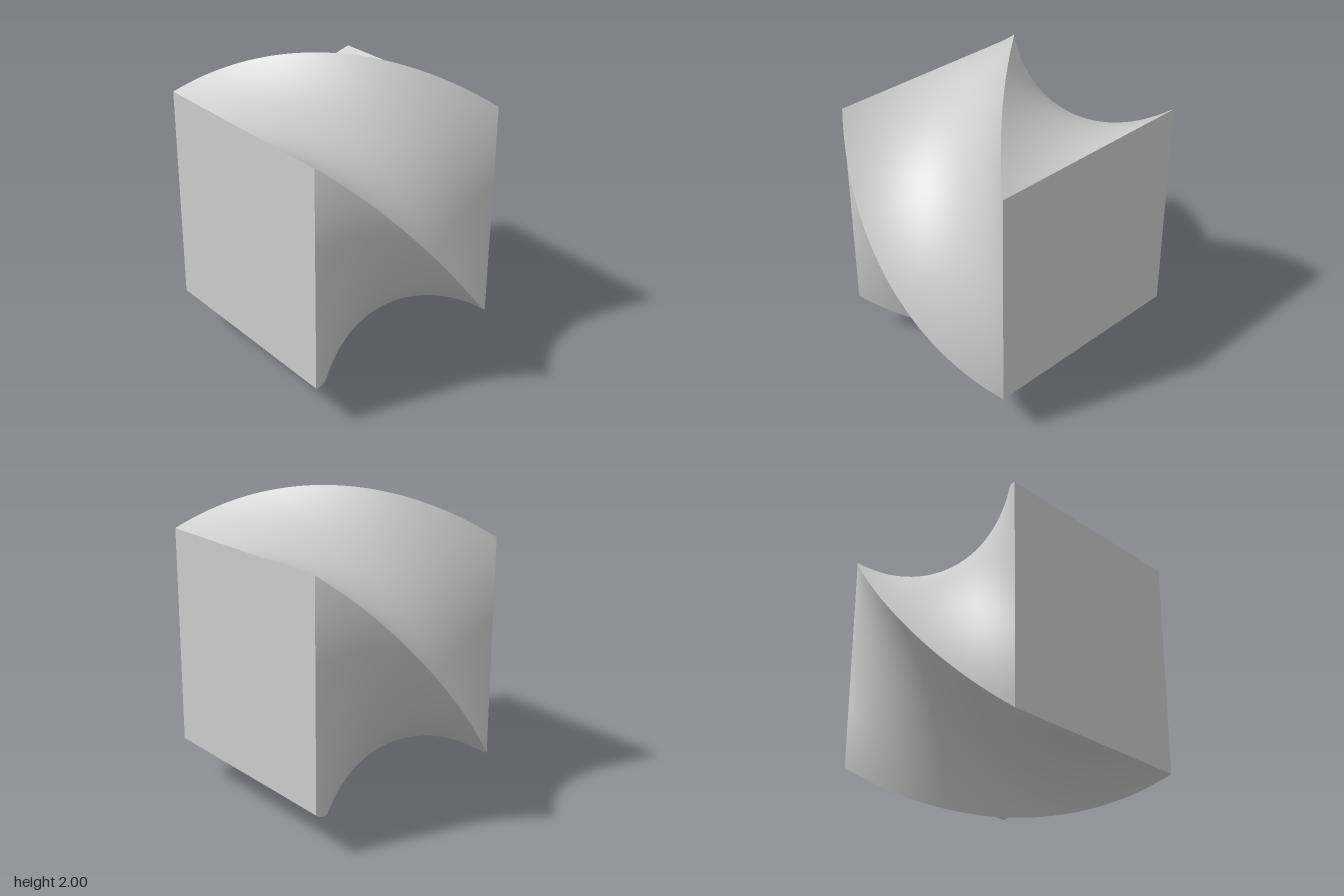
import * as THREE from 'three';

const LENGTH = 1.38;          // along x
const SIDE = Math.SQRT2;      // square section inscribed in a unit circle
const TWIST = Math.PI / 2;    // quarter turn from end to end

// One long face of the bar: a flat grid twisted about the x axis
function twistedSide(index) {
  const geometry = new THREE.PlaneGeometry(LENGTH, SIDE, 72, 24);
  const position = geometry.attributes.position;
  const axis = new THREE.Vector3(1, 0, 0);
  const point = new THREE.Vector3();
  for (let i = 0; i < position.count; i++) {
    point.fromBufferAttribute(position, i);
    const angle = (point.x / LENGTH + 0.5) * TWIST + index * Math.PI / 2;
    point.z = SIDE / 2;
    point.applyAxisAngle(axis, angle);
    position.setXYZ(i, point.x, point.y, point.z);
  }
  geometry.computeVertexNormals();
  return geometry;
}

export function createModel() {
  const model = new THREE.Group();
  model.name = 'twistedSquareBar';
  const grey = new THREE.MeshStandardMaterial({ color: 0xcccccc });
  grey.name = 'light grey';

  // Four smooth twisted faces, sharp where they meet
  for (let i = 0; i < 4; i++) {
    const side = new THREE.Mesh(twistedSide(i), grey);
    side.name = `twistedSide${i + 1}`;
    side.position.y = 1;
    model.add(side);
  }

  // Flat square ends
  for (const s of [-1, 1]) {
    const end = new THREE.Mesh(new THREE.PlaneGeometry(SIDE, SIDE), grey);
    end.name = s > 0 ? 'leftEnd' : 'rightEnd';
    end.rotation.y = s * Math.PI / 2;
    end.position.set(s * LENGTH / 2, 1, 0);
    model.add(end);
  }
  return model;
}
